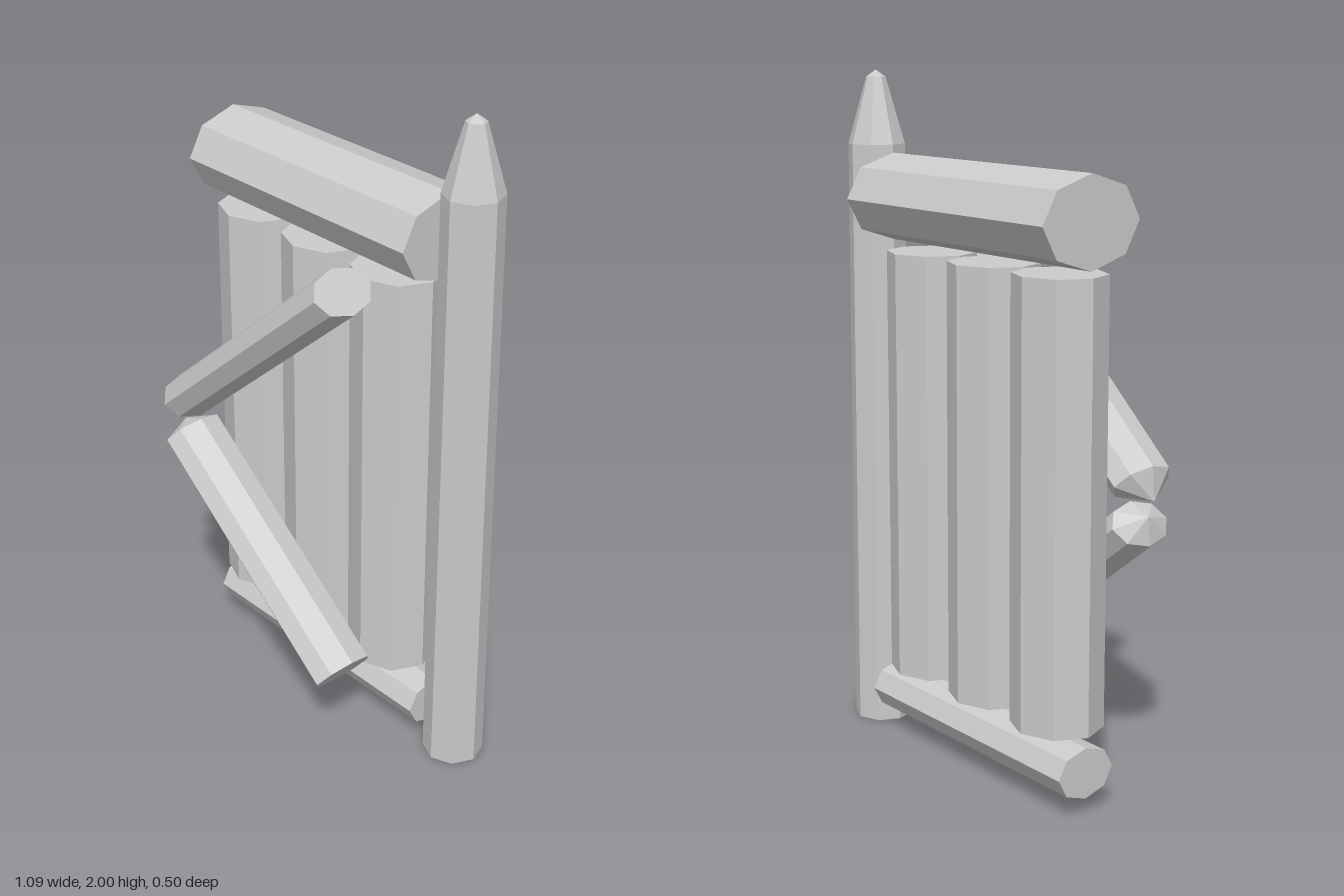
import * as THREE from 'three';

const material = new THREE.MeshStandardMaterial({ color: 0xcccccc, flatShading: true });

// Eight-sided timber along the line a-b in the plane z; profile is [radius factor, distance]
function timber(name, a, b, z, halfWidth, halfDepth, profileFor) {
  const dx = b[0] - a[0], dy = b[1] - a[1], length = Math.hypot(dx, dy);
  const profile = profileFor ? profileFor(length) : [[0, 0], [1, 0], [1, length], [0, length]];
  const geometry = new THREE.LatheGeometry(profile.map(([r, y]) => new THREE.Vector2(r, y)), 8);
  geometry.scale(halfWidth, 1, halfDepth);
  const mesh = new THREE.Mesh(geometry, material);
  mesh.name = name;
  mesh.position.set(a[0], a[1], z);
  mesh.rotation.z = Math.atan2(dy, dx) - Math.PI / 2;
  return mesh;
}

export function createModel() {
  const gate = new THREE.Group();
  gate.name = 'palisadeGate';
  const z = -0.087;

  // Sharpened post
  gate.add(timber('post', [0.45, 0], [0.45, 2], z, 0.088, 0.088,
    (l) => [[0, 0], [1.02, 0], [0.97, 1.785], [0.33, 1.98], [0, l]]));

  // Horizontal beams
  gate.add(timber('topBeam', [-0.542, 1.635], [0.362, 1.635], z, 0.127, 0.164));
  gate.add(timber('bottomBeam', [-0.542, 0.122], [0.36, 0.122], z, 0.074, 0.095));

  // Upright planks
  [-0.407, -0.117, 0.178].forEach((x, i) => {
    gate.add(timber(`plank${i + 1}`, [x, 0.225], [x, 1.49], z + 0.005, 0.138, 0.128));
  });

  // Diagonal braces with a short point on the outer end
  const pointed = (tip) => (l) => [[0, -tip], [1, 0], [1, l], [0, l]];
  gate.add(timber('upperBrace', [-0.492, 0.902], [0.206, 1.492], 0.145, 0.07, 0.1, pointed(0.07)));
  gate.add(timber('lowerBrace', [-0.487, 0.782], [0.211, 0.252], 0.145, 0.07, 0.1, pointed(0.045)));

  return gate;
}
